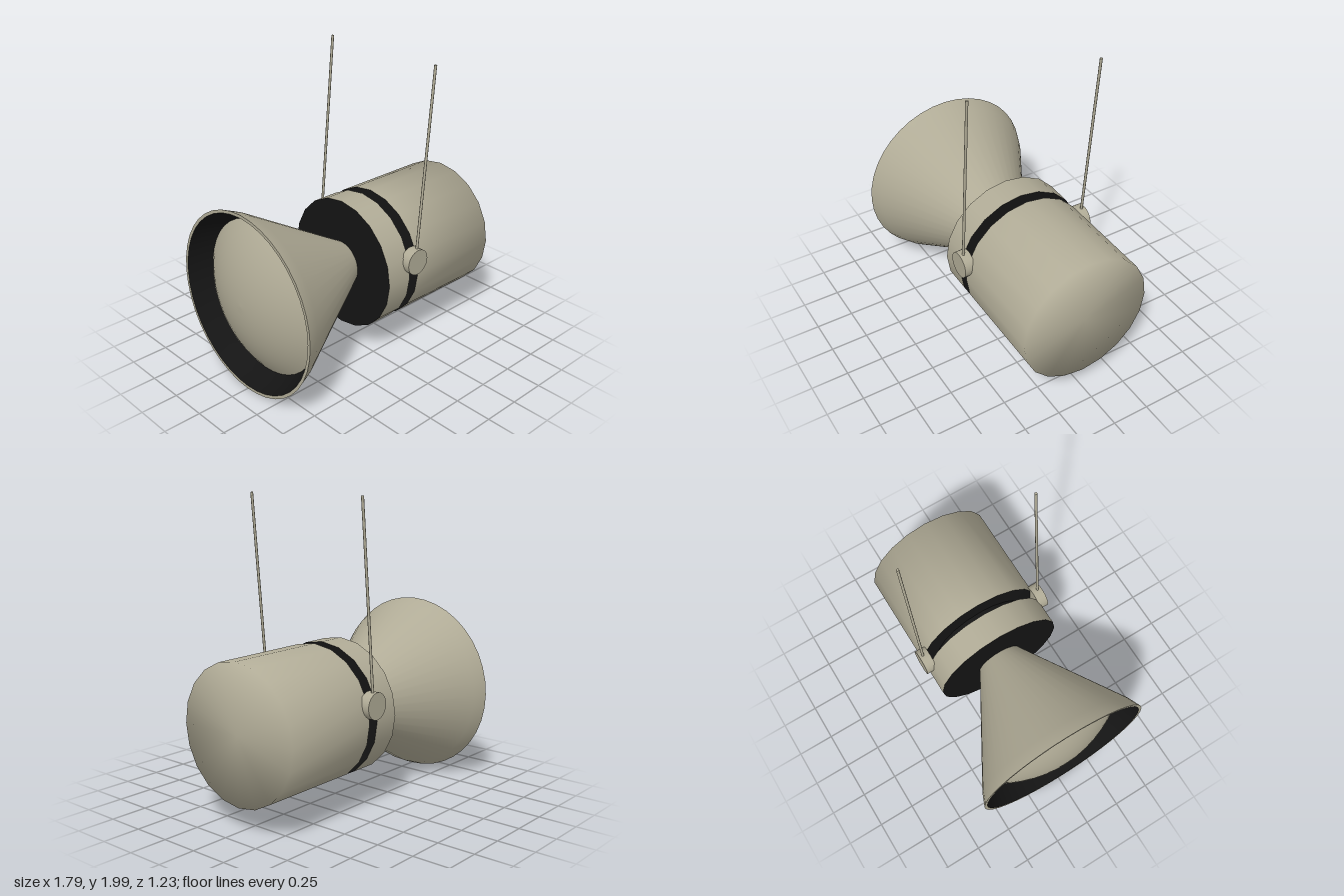
import * as THREE from 'three';

const tan = new THREE.MeshStandardMaterial({ color: 0xb0ab96 });
const black = new THREE.MeshStandardMaterial({ color: 0x141414 });

// Revolves [x, radius] pairs around the x axis, running from -x to +x on the outside.
function turned(name, profile, segments, material) {
  const points = profile.map(([x, r]) => new THREE.Vector2(r, x));
  const geometry = new THREE.LatheGeometry(points, segments);
  geometry.rotateZ(-Math.PI / 2);
  const mesh = new THREE.Mesh(geometry, material);
  mesh.name = name;
  return mesh;
}

// Thin rod between two points.
function rod(name, from, to, radius) {
  const dir = to.clone().sub(from);
  const mesh = new THREE.Mesh(new THREE.CylinderGeometry(radius, radius, dir.length(), 8), tan);
  mesh.position.copy(from).addScaledVector(dir, 0.5);
  mesh.quaternion.setFromUnitVectors(new THREE.Vector3(0, 1, 0), dir.normalize());
  mesh.name = name;
  return mesh;
}

export function createModel() {
  const model = new THREE.Group();
  model.name = 'hangingSpotlight';

  // Lamp head, tipped very slightly about its centre
  const head = new THREE.Group();
  head.name = 'lampHead';
  head.position.y = 0.616;
  head.rotation.z = -0.008;
  model.add(head);

  // Flared horn with a thin lip and a black inner wall
  head.add(turned('horn', [[-0.87, 0.613], [-0.78, 0.575], [-0.05, 0.15]], 40, tan));
  head.add(turned('hornLip', [[-0.87, 0.592], [-0.87, 0.613]], 40, tan));
  head.add(turned('hornInnerWall', [[-0.72, 0.51], [-0.78, 0.555], [-0.87, 0.592]], 40, black));

  // Shallow domed lens inside the horn
  const R = 0.86;
  const lens = [];
  for (let i = 0; i <= 8; i++) {
    const r = 0.525 * i / 8;
    lens.push([-0.898 + R - Math.sqrt(R * R - r * r), r]);
  }
  head.add(turned('lens', lens, 40, tan));

  // Collar with black rear face, black groove, and the main can
  head.add(turned('collarBack', [[-0.06, 0], [-0.06, 0.448]], 20, black));
  head.add(turned('collar', [[-0.06, 0.448], [0.125, 0.448]], 20, tan));
  head.add(turned('collarFront', [[0.125, 0.448], [0.122, 0.34]], 20, black));
  head.add(turned('groove', [[0.12, 0.34], [0.2, 0.34]], 20, black));
  head.add(turned('canBack', [[0.188, 0.34], [0.2, 0.448]], 20, black));
  head.add(turned('can', [[0.2, 0.448], [0.892, 0.448], [0.892, 0]], 20, tan));

  // Pivot knobs and suspension rods on both sides
  for (const side of [1, -1]) {
    const label = side > 0 ? 'front' : 'back';
    const knob = new THREE.Mesh(new THREE.CylinderGeometry(0.087, 0.087, 0.07, 32), tan);
    knob.rotation.x = Math.PI / 2;
    knob.position.set(0.165, 0.725, 0.444 * side);
    knob.name = label + 'Knob';
    model.add(knob);
    model.add(rod(label + 'Rod', new THREE.Vector3(0.17, 0.72, 0.452 * side),
      new THREE.Vector3(0.288, 2, 0.452 * side), 0.009));
  }
  return model;
}
